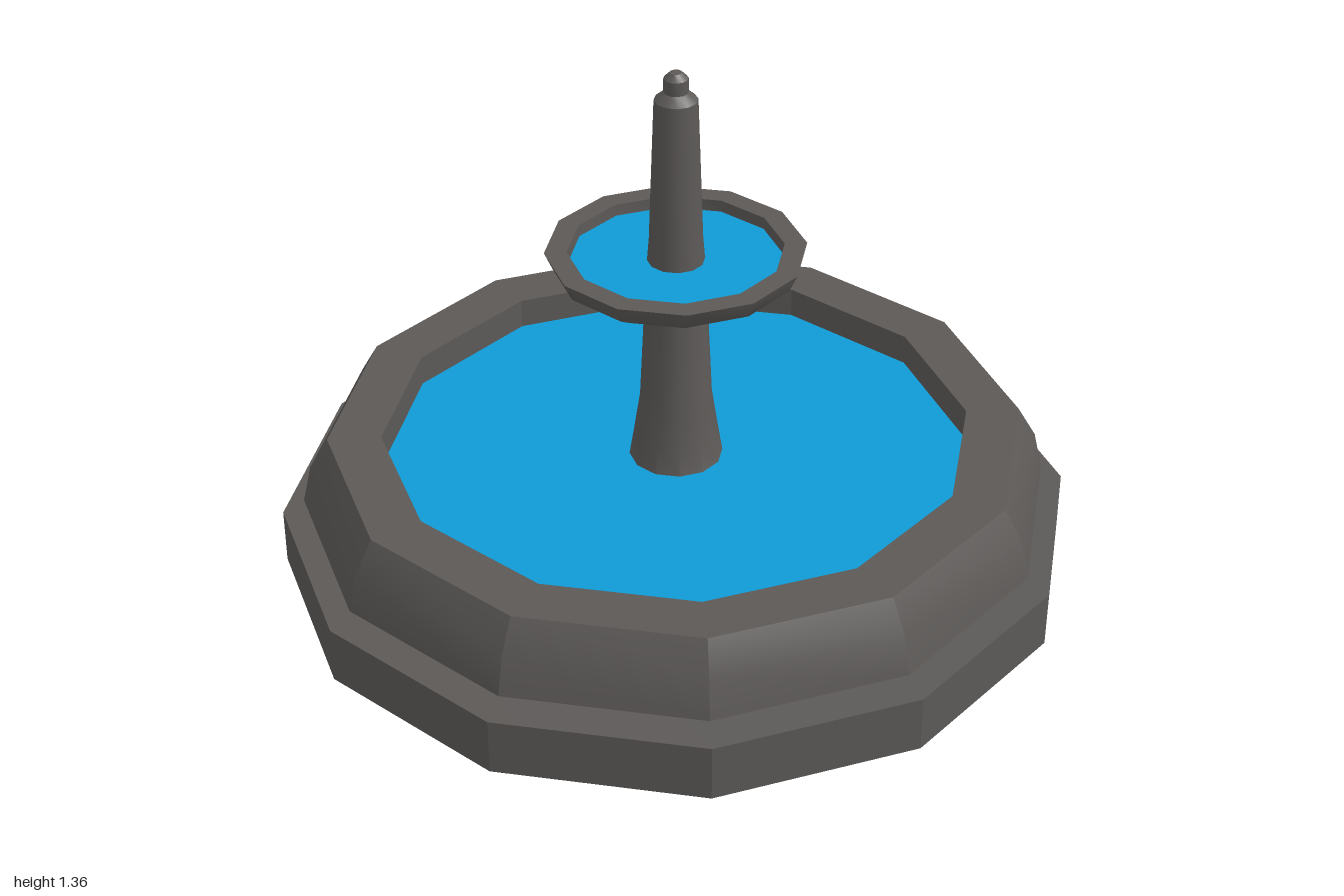
import * as THREE from 'three';
import { toCreasedNormals } from 'three/addons/utils/BufferGeometryUtils.js';

const stone = new THREE.MeshStandardMaterial({ color: 0x5c5957, side: THREE.DoubleSide });
const waterBlue = new THREE.MeshStandardMaterial({ color: 0x0f9ad6, side: THREE.DoubleSide });
const SIDES = 12;

// Turned stone part from [radius, height] pairs, listed from the bottom outward and up
function turned(name, profile, crease) {
  const points = profile.map(([r, y]) => new THREE.Vector2(r, y));
  const geometry = toCreasedNormals(new THREE.LatheGeometry(points, SIDES), crease);
  const mesh = new THREE.Mesh(geometry, stone);
  mesh.name = name;
  return mesh;
}

// Flat sheet of water with its corners on the axes
function waterSheet(name, radius, y) {
  const mesh = new THREE.Mesh(new THREE.CircleGeometry(radius, SIDES), waterBlue);
  mesh.rotation.x = -Math.PI / 2;
  mesh.position.y = y;
  mesh.name = name;
  return mesh;
}

export function createModel() {
  const fountain = new THREE.Group();
  fountain.name = 'fountain';

  // Hollow basin: base ring, notch, sloped upper ring, rim and inner wall
  fountain.add(turned('basin', [
    [0.94, 0], [1, 0.02], [1, 0.165], [0.84, 0.167], [0.945, 0.2],
    [0.922, 0.3], [0.875, 0.38], [0.74, 0.38], [0.74, 0.27],
  ], 0.35));
  fountain.add(waterSheet('basinWater', 0.74, 0.3));

  // Column, flaring open below the water and stepping in to a small spout
  fountain.add(turned('column', [
    [0.27, 0.04], [0.118, 0.3], [0.105, 0.38], [0.09, 0.48], [0.074, 0.82],
    [0.066, 0.92], [0.053, 1.29], [0.03, 1.31], [0.03, 1.345], [0.015, 1.36], [0, 1.36],
  ], 0.6));

  // Upper bowl
  fountain.add(turned('upperBowl', [
    [0.06, 0.818], [0.26, 0.82], [0.3, 0.845], [0.32, 0.89], [0.265, 0.89], [0.262, 0.84],
  ], 0.6));
  fountain.add(waterSheet('upperBowlWater', 0.264, 0.86));

  return fountain;
}
